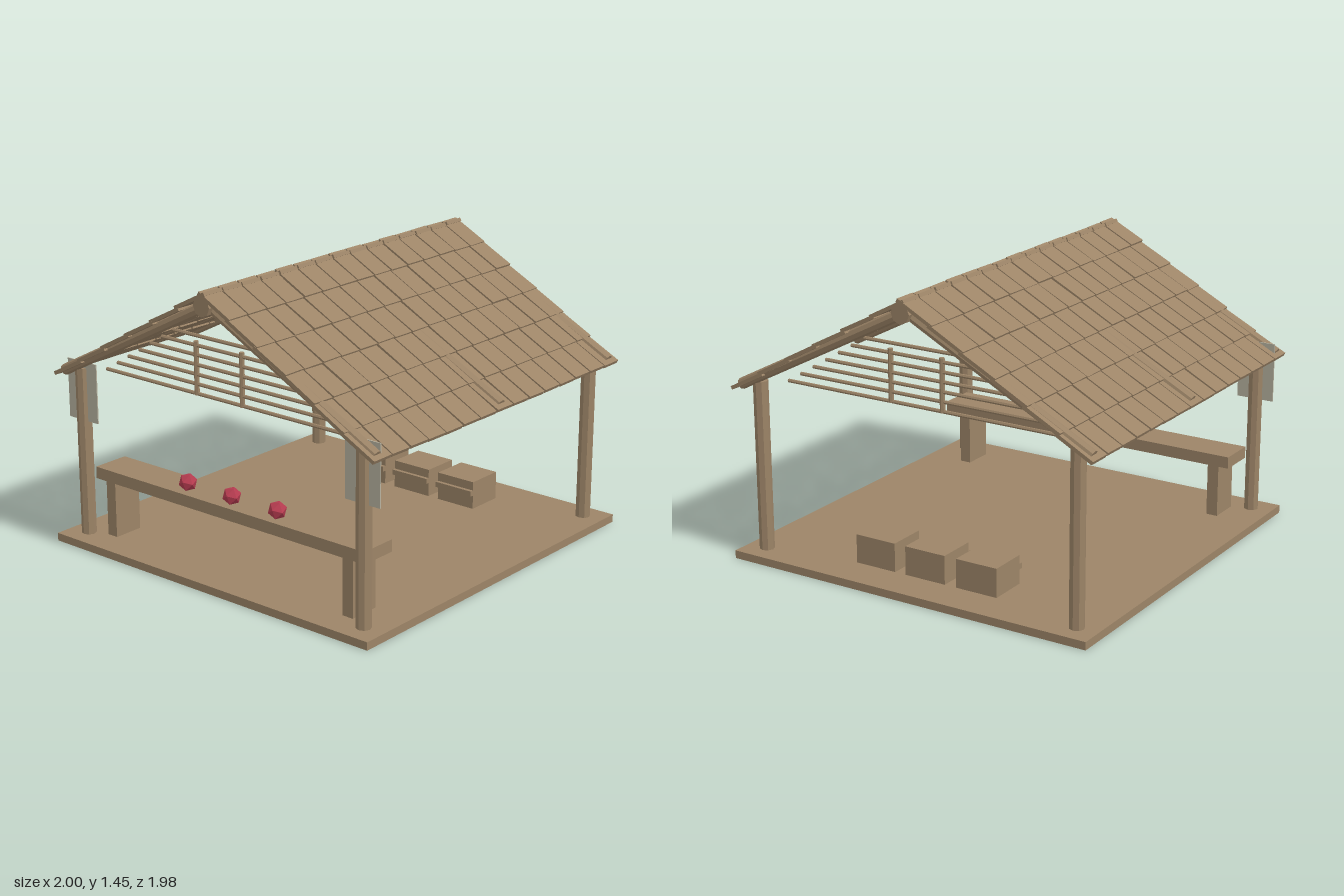
import * as THREE from 'three';

export function createModel() {
  const root = new THREE.Group();
  const mat = (name, color) => {
    const m = new THREE.MeshStandardMaterial({ color });
    m.name = name;
    return m;
  };
  const wood = mat('wood', 0x9c8467);
  const cloth = mat('pale cloth', 0xb8b3a0);
  cloth.side = THREE.DoubleSide;
  const red = mat('red gem', 0xb63c50);
  red.flatShading = true;
  const roundWood = mat('pole wood', 0x9c8467);
  roundWood.flatShading = true;

  let seed = 7;
  const jitter = (a) => {
    seed = (seed * 16807) % 2147483647;
    return (seed / 2147483647 - 0.5) * 2 * a;
  };

  const add = (name, geo, material, x, y, z, parent = root) => {
    const m = new THREE.Mesh(geo, material);
    m.name = name;
    m.position.set(x, y, z);
    parent.add(m);
    return m;
  };
  // Box given by its minimum and maximum corners
  const box = (name, x0, x1, y0, y1, z0, z1, material = wood) =>
    add(name, new THREE.BoxGeometry(x1 - x0, y1 - y0, z1 - z0), material,
      (x0 + x1) / 2, (y0 + y1) / 2, (z0 + z1) / 2);
  // Faceted pole between two points
  const pole = (name, a, b, r, sides = 8) => {
    const p = new THREE.Vector3(...a), q = new THREE.Vector3(...b);
    const d = q.clone().sub(p);
    const mid = p.clone().add(q).multiplyScalar(0.5);
    const m = add(name, new THREE.CylinderGeometry(r, r, d.length(), sides), roundWood, mid.x, mid.y, mid.z);
    m.quaternion.setFromUnitVectors(new THREE.Vector3(0, 1, 0), d.normalize());
    return m;
  };

  box('floor', -0.99, 0.99, 0, 0.04, -0.99, 0.99);

  // Corner posts, rafters and ridge
  for (const s of [-1, 1]) {
    for (const z of [-0.88, 0.88]) pole('post', [s * 0.88, 0.04, z], [s * 0.88, 0.9, z], 0.037);
    for (const z of [-0.91, 0, 0.91]) pole('rafter', [s * 0.97, 0.876, z], [0, 1.375, z], 0.028);
  }
  pole('ridgePole', [0, 1.375, -0.96], [0, 1.375, 0.96], 0.05);

  // Overlapping roof shingles, six courses on each slope
  const tileGeo = new THREE.BoxGeometry(0.21, 0.018, 0.119);
  const angle = Math.atan(0.52);
  for (const s of [-1, 1]) {
    const slope = new THREE.Group();
    slope.name = s > 0 ? 'leftRoof' : 'rightRoof';
    root.add(slope);
    for (let row = 0; row < 15; row++) {
      for (let i = 0; i < 6; i++) {
        const x = 0.995 - i * 0.1655 - 0.093;
        const y = 0.863 + i * 0.095 + 0.0485;
        const t = add('shingle', tileGeo, wood, s * x, y + jitter(0.002), (row - 7) * 0.1286 + jitter(0.001), slope);
        t.rotation.set(jitter(0.012), jitter(0.012), -s * (angle + jitter(0.01)));
      }
    }
  }

  // Gable lattices
  for (const z of [-0.84, 0.85]) {
    for (let i = 0; i < 7; i++) {
      const w = 0.74 - i * 0.0755, y = 0.911 + i * 0.0467;
      pole('latticeRod', [-w, y, z], [w, y, z], 0.009, 6);
    }
    for (const x of [-0.142, 0.142]) pole('latticeUpright', [x, 0.905, z], [x, 1.165, z], 0.0125, 6);
  }

  // Counter with its two legs
  box('counterTop', -0.855, 0.85, 0.32, 0.38, 0.645, 0.84);
  for (const x of [-0.755, 0.755]) box('counterLeg', x - 0.03, x + 0.03, 0.04, 0.32, 0.68, 0.84);

  // Gems on the counter
  for (const x of [-0.285, 0, 0.285]) {
    const g = add('gem', new THREE.IcosahedronGeometry(0.046, 0), red, x, 0.419, 0.78);
    g.rotation.set(0.3, 0.25, 0.1);
  }

  // Crates with a front rail
  for (const x of [-0.288, 0, 0.285]) {
    box('crate', x - 0.112, x + 0.112, 0.04, 0.185, -0.795, -0.595);
    box('crateRail', x - 0.112, x + 0.112, 0.112, 0.14, -0.595, -0.575);
  }

  // Hanging cloths on the front posts
  for (const x of [-0.877, 0.877]) box('hangingCloth', x - 0.098, x + 0.098, 0.63, 0.93, 0.882, 0.888, cloth);

  return root;
}
